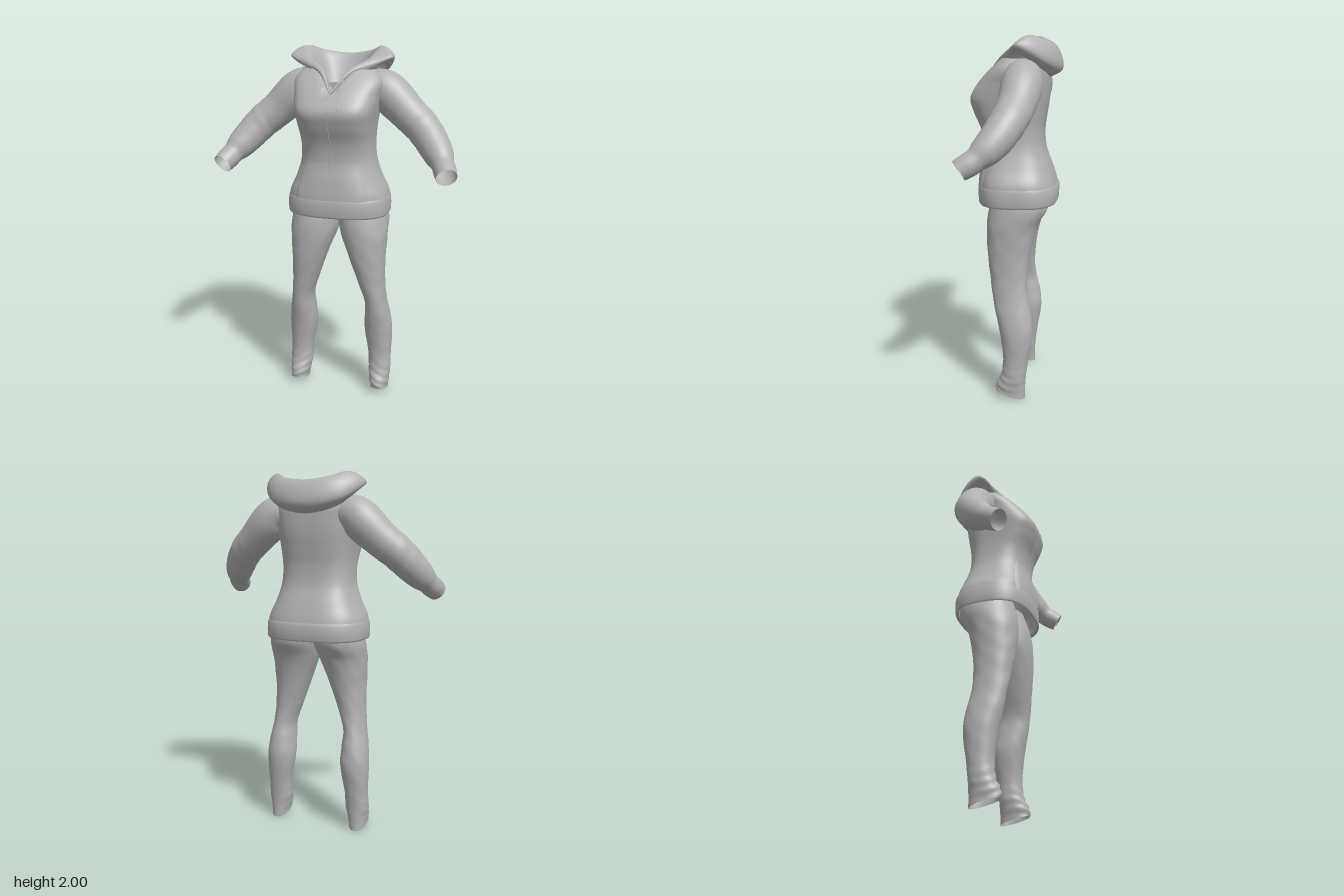
import * as THREE from 'three';

const cloth = new THREE.MeshStandardMaterial({ color: 0xb2b2b2, side: THREE.DoubleSide });
cloth.name = 'greyCloth';

// Skin a list of point rows; closed rows wrap round.
function loft(name, rows, closed = true) {
  const n = rows[0].length, pos = [], idx = [];
  rows.forEach(r => r.forEach(p => pos.push(p.x, p.y, p.z)));
  for (let i = 0; i < rows.length - 1; i++) {
    for (let j = 0; j < (closed ? n : n - 1); j++) {
      const k = (j + 1) % n, a = i * n + j, b = i * n + k, c = a + n, d = b + n;
      idx.push(a, c, b, b, c, d);
    }
  }
  const g = new THREE.BufferGeometry();
  g.setAttribute('position', new THREE.Float32BufferAttribute(pos, 3));
  g.setIndex(idx);
  g.computeVertexNormals();
  const mesh = new THREE.Mesh(g, cloth);
  mesh.name = name;
  return mesh;
}

// Smooth lookup in a table whose first column is the parameter.
function table(rows) {
  const s = new THREE.CubicInterpolant(rows.map(r => r[0]), rows.flatMap(r => r.slice(1)), rows[0].length - 1);
  return t => Array.from(s.evaluate(t));
}

const steps = (n, f) => Array.from({ length: n + 1 }, (_, i) => f(i / n));
const V = (x, y, z) => new THREE.Vector3(x, y, z);

// Rounded-box ring with separate depth and squareness for front and back.
function ring(y, xc, hw, zf, zb, zc, frontPower, backPower, n) {
  return Array.from({ length: n }, (_, i) => {
    const a = (i / n) * Math.PI * 2, c = Math.cos(a), s = Math.sin(a);
    const e = 2 / (s > 0 ? frontPower : backPower);
    return V(xc + Math.sign(c) * Math.abs(c) ** e * hw, y,
      zc + Math.sign(s) * Math.abs(s) ** e * (s > 0 ? zf - zc : zc - zb));
  });
}

// Body: height, half width, front z, back z, squareness of the front
const body = table([
  [1.18, 0.279, 0.2, -0.229, 2.6], [1.23, 0.27, 0.197, -0.218, 2.6], [1.3, 0.237, 0.19, -0.196, 2.6],
  [1.4, 0.205, 0.178, -0.162, 2.6], [1.5, 0.198, 0.19, -0.155, 2.9], [1.6, 0.206, 0.228, -0.168, 3.5],
  [1.67, 0.217, 0.243, -0.178, 3.7], [1.75, 0.23, 0.2, -0.182, 3.2], [1.83, 0.24, 0.128, -0.178, 2.6],
  [1.88, 0.2, 0.073, -0.166, 2.5]]);
const BACK = 2.8;

// Sleeve radius along its length
const sleeveRadius = table([
  [0, 0.08], [0.1, 0.098], [0.21, 0.108], [0.38, 0.098], [0.56, 0.092], [0.73, 0.083],
  [0.82, 0.072], [0.86, 0.061], [0.93, 0.06], [1, 0.055]]);
const sleevePath = new THREE.CatmullRomCurve3([
  V(0.13, 1.79, -0.055), V(0.23, 1.775, -0.062), V(0.3, 1.715, -0.058), V(0.37, 1.65, -0.045),
  V(0.455, 1.578, -0.016), V(0.535, 1.485, 0.045), V(0.588, 1.413, 0.12), V(0.618, 1.366, 0.194)]);

// Leg: height, outer x, inner x, front z, back z
const leg = table([
  [0, 0.297, 0.2, 0.085, -0.08], [0.06, 0.302, 0.19, 0.08, -0.08], [0.12, 0.307, 0.18, 0.06, -0.083],
  [0.22, 0.306, 0.176, 0.045, -0.095], [0.4, 0.309, 0.15, 0.066, -0.12], [0.5, 0.296, 0.156, 0.088, -0.108],
  [0.58, 0.282, 0.158, 0.102, -0.09], [0.7, 0.271, 0.12, 0.12, -0.083], [0.85, 0.271, 0.067, 0.14, -0.1],
  [1.0, 0.278, 0.01, 0.145, -0.14], [1.08, 0.275, -0.005, 0.135, -0.185], [1.2, 0.25, -0.01, 0.1, -0.18]]);

// Hood tracks from the V of the neck, round the side, to the centre back
const hoodTracks = [
  [[0, 1.755, 0.182], [0.085, 1.858, 0.09], [0.17, 1.885, 0.035], [0.24, 1.905, -0.03], [0.175, 1.82, -0.16], [0, 1.78, -0.185]],
  [[0, 1.762, 0.185], [0.09, 1.875, 0.087], [0.19, 1.91, 0.027], [0.284, 1.94, -0.03], [0.203, 1.86, -0.19], [0, 1.82, -0.248]],
  [[0, 1.765, 0.18], [0.078, 1.885, 0.078], [0.19, 1.93, 0.014], [0.272, 1.966, -0.05], [0.187, 1.935, -0.185], [0, 1.905, -0.236]],
  [[0, 1.76, 0.172], [0.068, 1.88, 0.072], [0.16, 1.935, 0.002], [0.2, 1.995, -0.09], [0.13, 1.97, -0.165], [0, 1.953, -0.198]],
  [[0, 1.755, 0.165], [0.06, 1.865, 0.062], [0.12, 1.885, 0], [0.13, 1.905, -0.07], [0.09, 1.89, -0.125], [0, 1.885, -0.145]],
  [[0, 1.75, 0.158], [0.05, 1.81, 0.056], [0.072, 1.8, 0], [0.078, 1.8, -0.04], [0.05, 1.8, -0.075], [0, 1.8, -0.085]]];

function createHood() {
  const curves = hoodTracks.map(t => {
    const half = t.map(p => V(...p));
    const other = t.slice(1, -1).reverse().map(([x, y, z]) => V(-x, y, z));
    return new THREE.CatmullRomCurve3([...half, ...other, V(...t[0])], false, 'centripetal');
  });
  // Cross-sections through the tracks, smoothed
  return loft('hood', steps(80, u =>
    new THREE.CatmullRomCurve3(curves.map(c => c.getPoint(u))).getPoints(20)), false);
}

function createSleeve() {
  const n = 44, frames = sleevePath.computeFrenetFrames(n);
  const rows = steps(n, t => {
    const i = Math.round(t * n), c = sleevePath.getPointAt(t);
    return Array.from({ length: 28 }, (_, j) => {
      const a = (j / 28) * Math.PI * 2;
      // faint creases at the elbow
      const fold = 0.0015 * Math.sin(t * 60 + 2 * Math.sin(a)) * Math.exp(-(((t - 0.55) / 0.1) ** 2));
      const r = sleeveRadius(t)[0] + fold;
      return c.clone().addScaledVector(frames.normals[i], Math.cos(a) * r)
        .addScaledVector(frames.binormals[i], Math.sin(a) * r);
    });
  });
  return loft('sleeve', rows);
}

function createLeg() {
  return loft('trouserLeg', steps(90, t => {
    const y = t * 1.2, [xo, xi, zf, zb] = leg(y);
    const xc = (xo + xi) / 2, zc = (zf + zb) / 2;
    const ankle = Math.max(0, 1 - y / 0.24);
    return ring(y, xc, (xo - xi) / 2, zf, zb, zc, 2.15, 2.15, 36).map(p => {
      // bunched cloth at the ankle, faint ripples higher up, hem raised in front
      const front = (p.z - zb) / (zf - zb);
      const k = 1 + 0.012 * Math.sin(y * 45 + p.x * 60) * Math.sin(p.z * 50 + y * 9)
        + 0.1 * Math.min(ankle, 0.6) * front * Math.sin(y * 110 + p.x * 70);
      return V(xc + (p.x - xc) * k, y + Math.max(0, 1 - y / 0.15) * 0.045 * front, zc + (p.z - zc) * k);
    });
  }));
}

// Front surface of the body at a given x and y
function frontZ(x, y) {
  const [hw, zf, , power] = body(y);
  return zf * Math.max(0, 1 - Math.abs(x / hw) ** power) ** (1 / power);
}

function strand(name, x, y0, y1, radius) {
  const pts = steps(8, t => {
    const y = y0 + (y1 - y0) * t;
    return V(x, y, frontZ(x, y) + radius * 0.4);
  });
  const m = new THREE.Mesh(new THREE.TubeGeometry(new THREE.CatmullRomCurve3(pts), 24, radius, 6), cloth);
  m.name = name;
  return m;
}

export function createModel() {
  const model = new THREE.Group();
  model.name = 'hoodedOutfit';

  // Body of the top, cut to a V at the neck
  model.add(loft('body', steps(70, t => {
    const y = 1.18 + t * 0.7, [hw, zf, zb, power] = body(y);
    return ring(y, 0, hw, zf, zb, 0, power, BACK, 80).map(p => {
      if (p.z > 0) p.y = Math.min(p.y, 1.755 + 1.25 * Math.abs(p.x));
      return p;
    });
  })));

  // Hem band, turned in at the bottom and almost flush at the top
  const hem = [[1.12, 0.268, 0.188, -0.215], [1.102, 0.278, 0.2, -0.226], [1.112, 0.283, 0.205, -0.232],
    [1.15, 0.284, 0.207, -0.235], [1.19, 0.281, 0.206, -0.234], [1.203, 0.276, 0.199, -0.224]];
  model.add(loft('hemBand', hem.map(([y, hw, zf, zb]) => ring(y, 0, hw, zf, zb, 0, 2.6, BACK, 80))));

  // Front pocket with slanted openings, fading into the body at its top
  model.add(loft('frontPocket', steps(14, t => {
    const y = 1.2 + t * 0.22, w = y < 1.25 ? 0.205 : 0.205 - (y - 1.25) * 0.32;
    return steps(28, u => {
      const x = (u * 2 - 1) * w, edge = u === 0 || u === 1;
      return V(x, y, frontZ(x, y) + (edge ? -0.004 : 0.007 - 0.008 * t * t));
    });
  }), false));

  model.add(strand('zip', 0, 1.21, 1.75, 0.003), createHood());

  // Mirrored sleeves, legs and drawstrings
  for (const side of [1, -1]) {
    const half = new THREE.Group();
    half.name = side > 0 ? 'leftSide' : 'rightSide';
    half.add(createSleeve(), createLeg(), strand('drawstring', 0.055, 1.67, 1.83, 0.003));
    half.scale.x = side;
    model.add(half);
  }
  return model;
}
